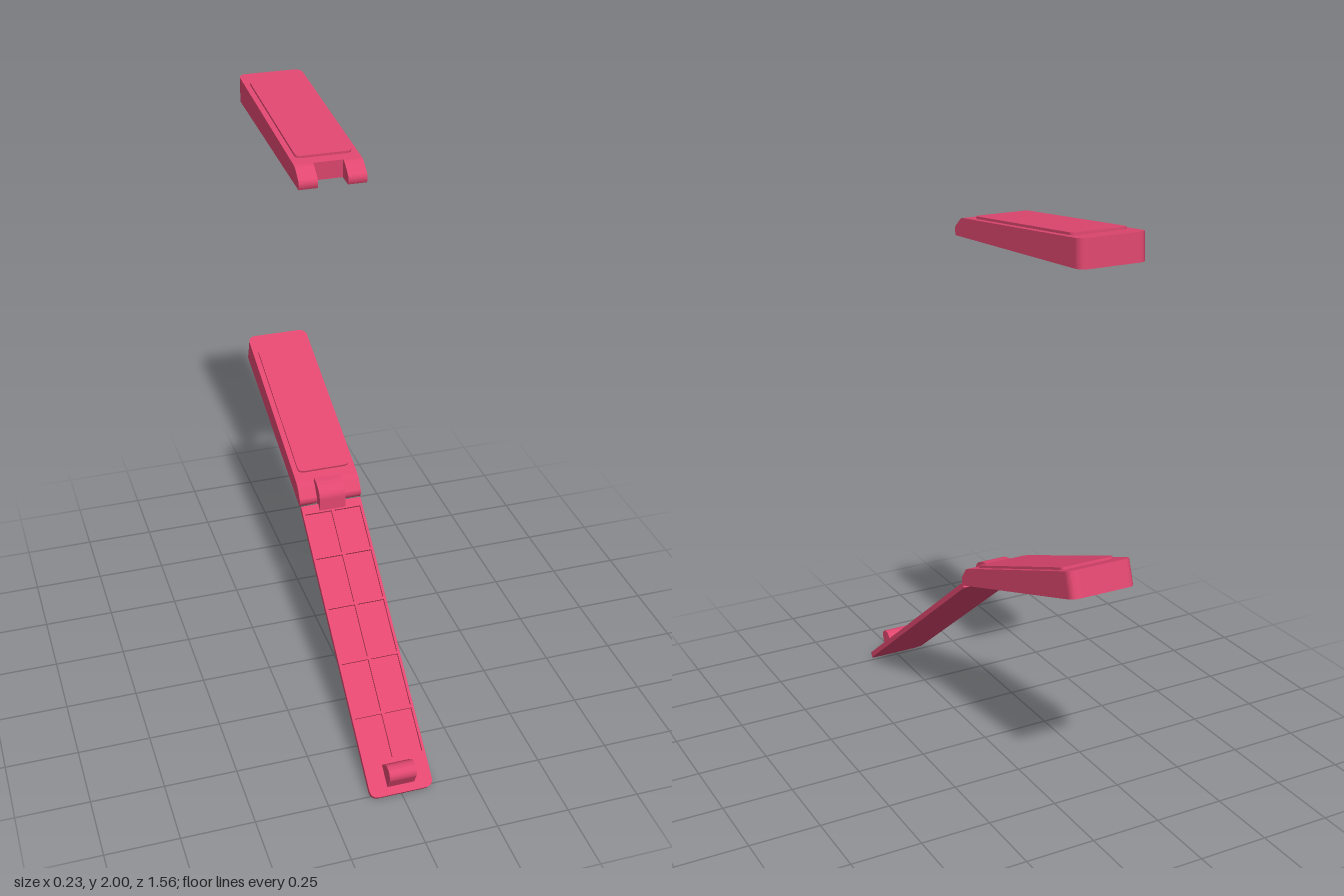
import * as THREE from 'three';

const material = new THREE.MeshStandardMaterial({ color: 0xe0476f });

function add(parent, name, geometry) {
  const mesh = new THREE.Mesh(geometry, material);
  mesh.name = name;
  parent.add(mesh);
  return mesh;
}

// Side profile (distance toward the back, height), extruded from x0 to x1
function sideExtrude(shape, x0, x1) {
  const g = new THREE.ExtrudeGeometry(shape, { depth: x1 - x0, bevelEnabled: false, curveSegments: 10 });
  return g.translate(0, 0, x0).rotateY(Math.PI / 2);
}

// Plan outline (x, distance toward the back), extruded upward
function planExtrude(shape, height) {
  const g = new THREE.ExtrudeGeometry(shape, { depth: height, bevelEnabled: false, curveSegments: 8 });
  return g.rotateX(-Math.PI / 2);
}

// Rectangle across x with rounded front (rf) and back (rb) corners
function plate(w, a0, a1, rf, rb) {
  const s = new THREE.Shape();
  s.moveTo(-w + rf, a0);
  s.lineTo(w - rf, a0);
  if (rf) s.quadraticCurveTo(w, a0, w, a0 + rf);
  s.lineTo(w, a1 - rb);
  if (rb) s.quadraticCurveTo(w, a1, w - rb, a1);
  s.lineTo(-w + rb, a1);
  if (rb) s.quadraticCurveTo(-w, a1, -w, a1 - rb);
  s.lineTo(-w, a0 + rf);
  if (rf) s.quadraticCurveTo(-w, a0, -w + rf, a0);
  return s;
}

// Make the upper face of a plan extrusion follow a sloping height
function slopeTop(g, heightAt) {
  const p = g.attributes.position;
  for (let i = 0; i < p.count; i++) {
    if (p.getY(i) > 0.5) p.setY(i, heightAt(-p.getZ(i)));
  }
  g.computeVertexNormals();
  return g;
}

const armTop = (a) => 0.061 + (a - 0.06) * 0.038;

function makeArm(name, y, z, degrees) {
  const arm = new THREE.Group();
  arm.name = name;
  add(arm, 'armBody', slopeTop(planExtrude(plate(0.113, 0.06, 0.767, 0, 0.032), 1), armTop));
  add(arm, 'topPanel', slopeTop(planExtrude(plate(0.094, 0.1, 0.693, 0.02, 0.02), 1), (a) => armTop(a) + 0.008));

  // Two sloping lugs either side of the hinge notch
  const lug = new THREE.Shape();
  lug.moveTo(0.06, 0);
  lug.lineTo(0.06, 0.061);
  lug.quadraticCurveTo(0.045, 0.06, 0.035, 0.052);
  lug.lineTo(0.006, 0.031);
  lug.quadraticCurveTo(-0.004, 0.018, 0.004, 0);
  for (const side of [-1, 1]) {
    add(arm, side > 0 ? 'leftLug' : 'rightLug',
      sideExtrude(lug, side > 0 ? 0.05 : -0.113, side > 0 ? 0.113 : -0.05));
  }
  arm.position.set(0, y, z);
  arm.rotation.x = THREE.MathUtils.degToRad(degrees);
  return arm;
}

function makeBlade() {
  const blade = new THREE.Group();
  blade.name = 'blade';
  add(blade, 'bladeBase', planExtrude(plate(0.11, 0, 1.04, 0.03, 0), 0.009));

  // Raised frame with two columns of pockets
  const frame = plate(0.11, 0, 1.04, 0.03, 0);
  const ribs = [0.116, 0.275, 0.466, 0.663, 0.847, 1.013];
  const half = 0.005;
  for (let i = 0; i < ribs.length - 1; i++) {
    for (const [x0, x1] of [[-0.101, -half], [half, 0.101]]) {
      const a0 = ribs[i] + half, a1 = ribs[i + 1] - half;
      const hole = new THREE.Path();
      hole.moveTo(x0, a0);
      hole.lineTo(x0, a1);
      hole.lineTo(x1, a1);
      hole.lineTo(x1, a0);
      hole.closePath();
      frame.holes.push(hole);
    }
  }
  add(blade, 'pocketFrame', planExtrude(frame, 0.01)).position.y = 0.009;
  blade.position.z = 0.765;
  blade.rotation.x = THREE.MathUtils.degToRad(38.2);
  return blade;
}

export function createModel() {
  const model = new THREE.Group();
  model.name = 'hingedClip';
  model.add(makeArm('detachedArm', 1.862, -0.01, 3.5));
  model.add(makeArm('hingedArm', 0.652, -0.05, 18.7));
  model.add(makeBlade());

  // Rounded catch near the free end of the blade
  const latch = new THREE.Shape();
  latch.moveTo(-0.752, 0.025);
  latch.lineTo(-0.777, 0.075);
  latch.quadraticCurveTo(-0.784, 0.1, -0.762, 0.111);
  latch.quadraticCurveTo(-0.735, 0.118, -0.722, 0.1);
  latch.lineTo(-0.692, 0.075);
  latch.lineTo(-0.692, 0.065);
  add(model, 'catch', sideExtrude(latch, -0.047, 0.047));

  // Knuckle on the blade that sits in the arm's notch
  const knuckle = new THREE.Shape();
  knuckle.moveTo(0.02, 0.63);
  knuckle.lineTo(0.065, 0.66);
  knuckle.lineTo(0.095, 0.69);
  knuckle.lineTo(0.09, 0.737);
  knuckle.lineTo(0.068, 0.733);
  knuckle.quadraticCurveTo(0.02, 0.72, 0.02, 0.685);
  add(model, 'hingeKnuckle', sideExtrude(knuckle, -0.047, 0.047));
  return model;
}
